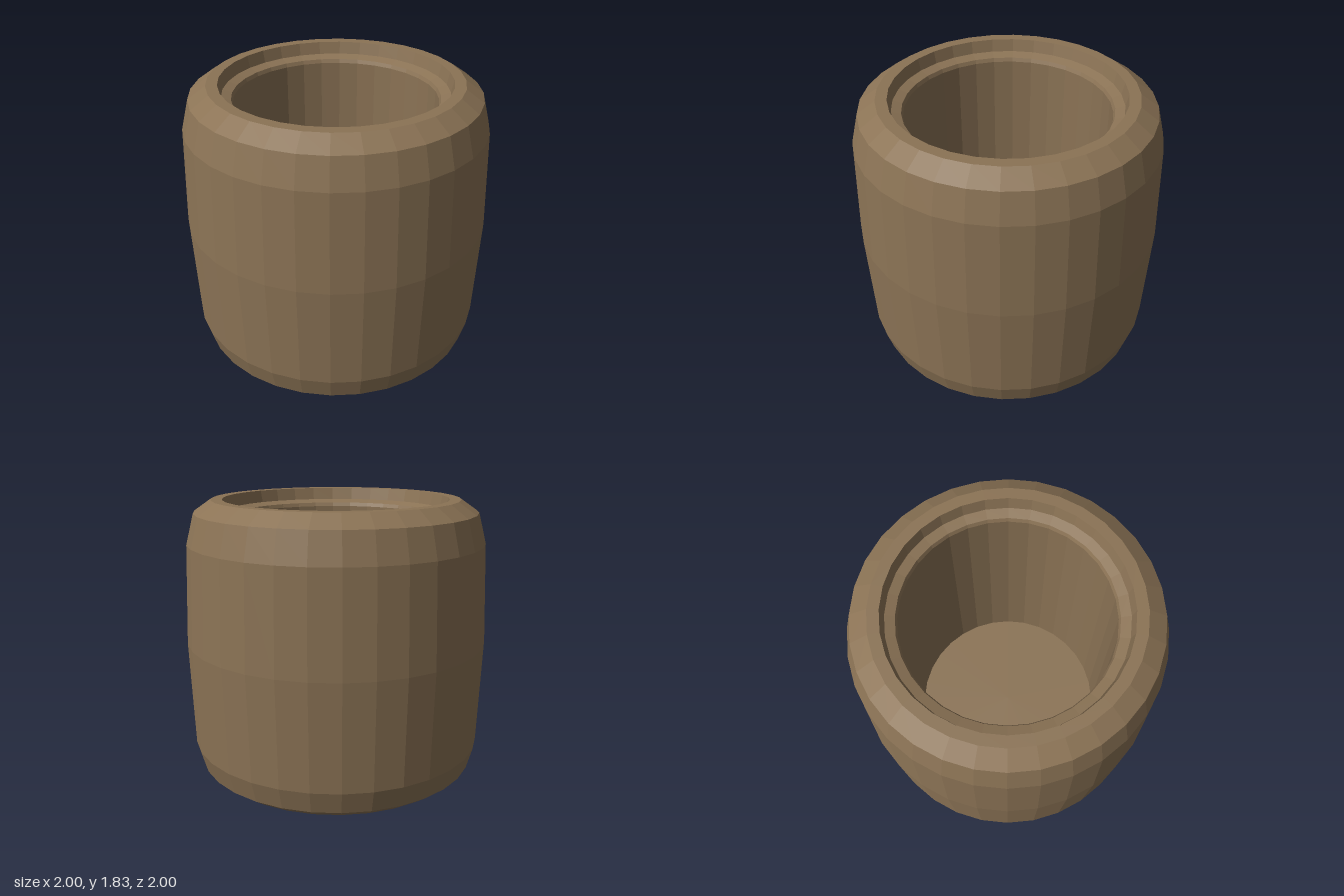
import * as THREE from 'three';

const SIDES = 32;

export function createModel() {
  const group = new THREE.Group();
  group.name = 'barrelPot';
  const material = new THREE.MeshStandardMaterial({ color: 0x8b7355, flatShading: true });

  // Turn a radius/height profile around the y axis
  function turned(name, profile) {
    const points = profile.map(([r, y]) => new THREE.Vector2(r, y));
    const mesh = new THREE.Mesh(new THREE.LatheGeometry(points, SIDES), material);
    mesh.name = name;
    group.add(mesh);
  }

  // Closed base and bulging outer wall
  turned('outerWall', [
    [0, 0], [0.86, 0], [0.935, 0.055], [0.975, 0.2],
    [1, 0.9], [0.975, 1.55], [0.925, 1.745],
  ]);

  // Chamfered rim with a stepped ledge inside
  turned('rim', [
    [0.925, 1.745], [0.81, 1.825], [0.738, 1.825],
    [0.72, 1.745], [0.66, 1.725], [0.65, 1.7],
  ]);

  // Straight inner wall and flat floor
  turned('cavity', [[0.65, 1.7], [0.65, 0.15], [0, 0.15]]);

  return group;
}
